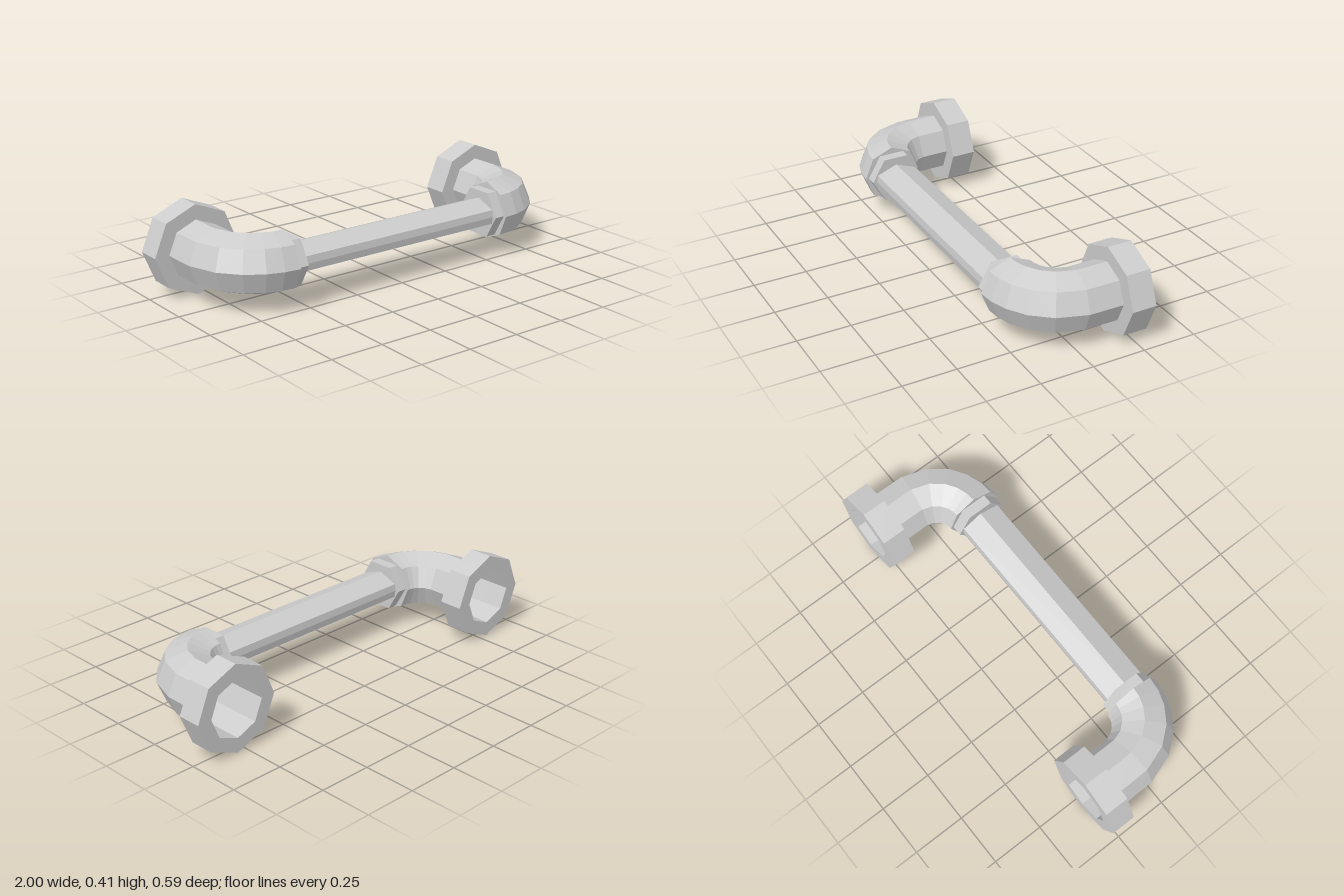
import * as THREE from 'three';

const CY = 0.206;    // height of the pipe axis
const BAR_Z = 0.158; // depth of the grip axis
const LEG_X = 0.795; // side offset of the wall mounts
const PIPE_R = 0.137;

const material = new THREE.MeshStandardMaterial({ color: 0xcccccc, flatShading: true });
const openMaterial = new THREE.MeshStandardMaterial({ color: 0xcccccc, flatShading: true, side: THREE.DoubleSide });

function part(name, geometry, mat = material) {
  const mesh = new THREE.Mesh(geometry, mat);
  mesh.name = name;
  return mesh;
}

function octagon(r) {
  return Array.from({ length: 8 }, (_, i) =>
    new THREE.Vector2(r * Math.cos(i * Math.PI / 4), r * Math.sin(i * Math.PI / 4)));
}

// Eight-sided pipe: straight leg from the wall, then a quarter bend towards the grip
function elbowGeometry(side) {
  const bend = 0.22, cx = LEG_X - bend, cz = BAR_Z - bend;
  const rings = [{ a: 0, z: -0.18 }];
  for (const deg of [7, 30, 49, 65, 78, 90]) rings.push({ a: deg * Math.PI / 180, z: cz });
  const positions = [], index = [];
  for (const { a, z } of rings) {
    for (const p of octagon(PIPE_R)) {
      const r = bend + p.x;
      positions.push(side * (cx + r * Math.cos(a)), CY + p.y, z + r * Math.sin(a));
    }
  }
  const tri = (a, b, c) => (side > 0 ? index.push(a, b, c) : index.push(a, c, b));
  for (let i = 0; i < rings.length - 1; i++) {
    for (let j = 0; j < 8; j++) {
      const k = (j + 1) % 8;
      const a = i * 8 + j, b = i * 8 + k, c = a + 8, d = b + 8;
      tri(a, b, d);
      tri(a, d, c);
    }
  }
  // cap at the grip end
  const last = (rings.length - 1) * 8;
  for (let j = 1; j < 7; j++) tri(last, last + j, last + j + 1);
  const g = new THREE.BufferGeometry();
  g.setAttribute('position', new THREE.Float32BufferAttribute(positions, 3));
  g.setIndex(index);
  g.computeVertexNormals();
  return g;
}

// Octagonal ring with a hole as wide as the pipe
function flangeGeometry() {
  const shape = new THREE.Shape(octagon(0.206));
  shape.holes.push(new THREE.Path(octagon(PIPE_R).reverse()));
  return new THREE.ExtrudeGeometry(shape, { depth: 0.115, bevelEnabled: false });
}

export function createModel() {
  const model = new THREE.Group();
  model.name = 'pullHandle';

  // Flattened grip bar
  const profile = [[0.102, 0], [0.097, 0.033], [0, 0.07], [-0.097, 0.033],
    [-0.102, 0], [-0.097, -0.033], [0, -0.07], [0.097, -0.033]];
  const barShape = new THREE.Shape(profile.map(([z, y]) => new THREE.Vector2(z, y)));
  const length = 1.14;
  const barGeometry = new THREE.ExtrudeGeometry(barShape, { depth: length, bevelEnabled: false });
  barGeometry.translate(0, 0, -length / 2).rotateY(Math.PI / 2);
  const bar = part('gripBar', barGeometry);
  bar.position.set(0, CY, BAR_Z);
  model.add(bar);

  for (const side of [1, -1]) {
    const end = new THREE.Group();
    end.name = side > 0 ? 'leftEnd' : 'rightEnd';

    // Wall flange
    const flange = part('wallFlange', flangeGeometry());
    flange.position.set(side * LEG_X, CY, -0.295);

    // Hexagonal collar between bend and grip
    const collar = part('hexCollar', new THREE.CylinderGeometry(0.122, 0.122, 0.05, 6));
    collar.rotation.z = Math.PI / 2;
    collar.position.set(side * 0.55, CY, BAR_Z);

    end.add(flange, part('elbowPipe', elbowGeometry(side), openMaterial), collar);
    model.add(end);
  }
  return model;
}
